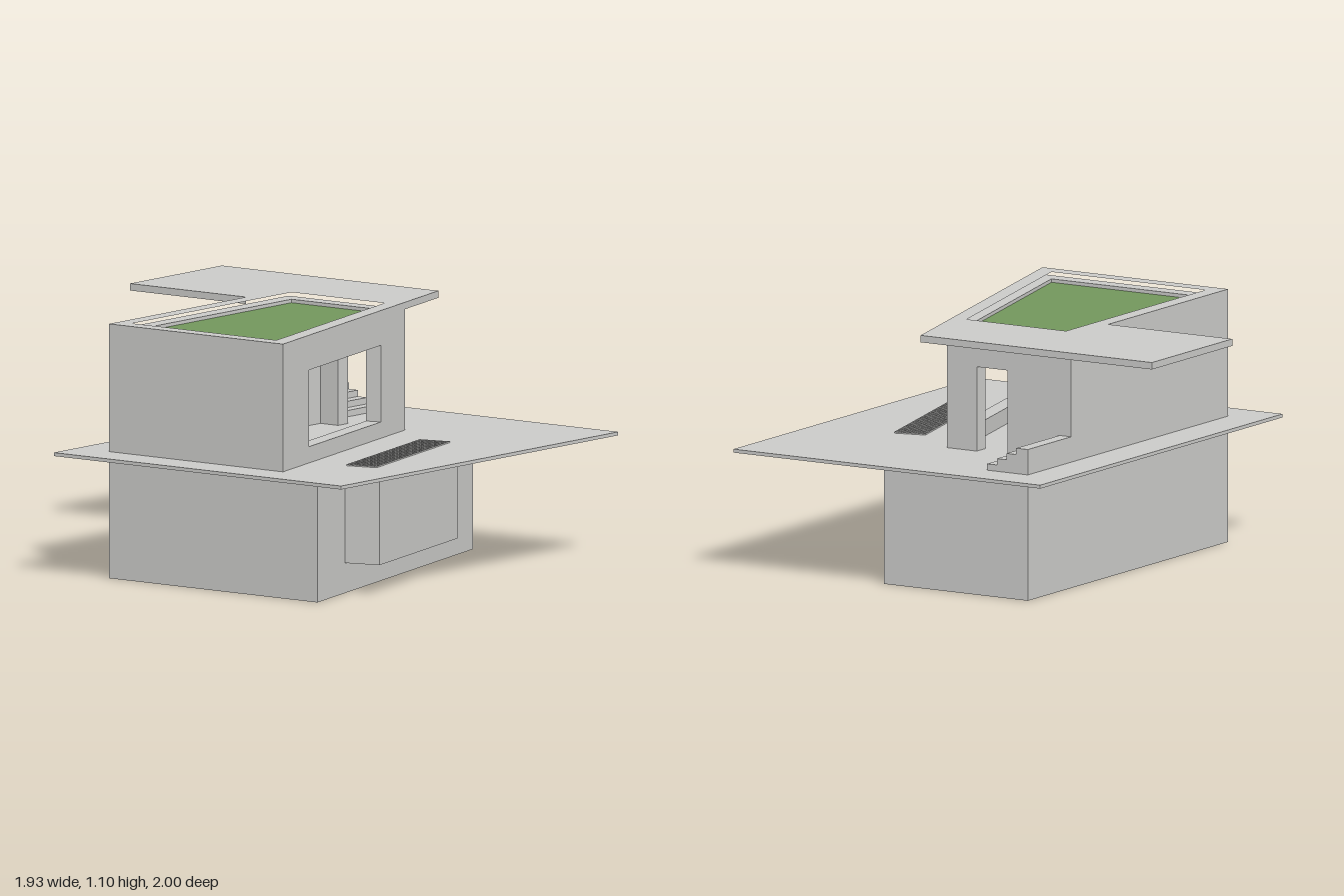
import * as THREE from 'three';

const concrete = new THREE.MeshStandardMaterial({ color: 0xcacac8 });
concrete.name = 'concrete';
const grass = new THREE.MeshStandardMaterial({ color: 0x72965c });
grass.name = 'grass';

const ANGLE = Math.atan(0.248); // skew of the front facade
const WALL = 0.07;
const SLAB_TOP = 0.545, ROOF_BOTTOM = 1.065, ROOF_TOP = 1.095, BACK = -0.375;

export function createModel() {
  const model = new THREE.Group();
  model.name = 'house';

  const add = (name, geometry, material = concrete, parent = model) => {
    const mesh = new THREE.Mesh(geometry, material);
    mesh.name = name;
    parent.add(mesh);
    return mesh;
  };
  const box = (name, x0, x1, y0, y1, z0, z1, parent = model) =>
    add(name, new THREE.BoxGeometry(x1 - x0, y1 - y0, z1 - z0), concrete, parent)
      .position.set((x0 + x1) / 2, (y0 + y1) / 2, (z0 + z1) / 2);
  // Plan outline of [x, z] points raised from y0 to y1, with an optional hole
  const prism = (name, plan, y0, y1, hole, material) => {
    const points = (list) => list.map(([x, z]) => new THREE.Vector2(x, -z));
    const shape = new THREE.Shape(points(plan));
    if (hole) shape.holes.push(new THREE.Path(points(hole)));
    const g = new THREE.ExtrudeGeometry(shape, { depth: y1 - y0, bevelEnabled: false });
    return add(name, g.rotateX(-Math.PI / 2).translate(0, y0, 0), material);
  };
  // Inner and outer facade lines of the upper floor
  const outer = (x) => 0.56 - Math.tan(ANGLE) * (x + 0.8);
  const inner = (x) => outer(x) - WALL / Math.cos(ANGLE);

  // Basement
  prism('basement', [[-0.8, BACK], [0.795, BACK], [0.795, 0.35], [-0.8, 0.745]], 0, 0.53);

  // Light well, in a frame turned with the facade
  const well = new THREE.Group();
  well.name = 'lightWell';
  well.position.set(-0.52, 0, 0.676);
  well.rotation.y = ANGLE;
  model.add(well);
  const T = 0.026, LEN = 0.825, DEPTH = 0.161;
  box('wellFloor', 0, LEN, 0.13, 0.13 + T, 0, DEPTH, well);
  box('wellFront', 0, LEN, 0.13 + T, 0.53, DEPTH - T, DEPTH, well);
  for (const x of [0, LEN - T]) box('wellSide', x, x + T, 0.13 + T, 0.53, 0, DEPTH - T, well);

  // Grate over the well
  const grateLength = LEN - 2 * T, grateWidth = DEPTH - T;
  const crossBars = 40, longBars = 8;
  for (let i = 0; i <= crossBars; i++) {
    const x = T + (grateLength * i) / crossBars;
    box('grateCrossBar', x - 0.0025, x + 0.0025, 0.535, 0.55, 0, grateWidth, well);
  }
  for (let i = 0; i <= longBars; i++) {
    const z = (grateWidth * i) / longBars;
    box('grateLongBar', T, LEN - T, 0.535, 0.551, z - 0.0025, z + 0.0025, well);
  }

  // Ground slab with the opening for the grate
  well.updateMatrix();
  const opening = [[T, 0], [LEN - T, 0], [LEN - T, grateWidth], [T, grateWidth]].map(([x, z]) => {
    const p = new THREE.Vector3(x, 0, z).applyMatrix4(well.matrix);
    return [p.x, p.z];
  });
  prism('groundSlab', [[-0.965, -0.545], [0.965, -0.545], [0.965, 1], [-0.965, 1]], 0.53, SLAB_TOP, opening);

  // Front wall with its window; both ends are mitred to the side walls
  const frontLength = 1.25 / Math.cos(ANGLE);
  const along = (x) => (x + 0.8) / Math.cos(ANGLE);
  const rect = (Kind, x0, y0, x1, y1) => new Kind([[x0, y0], [x1, y0], [x1, y1], [x0, y1]]
    .map(([x, y]) => new THREE.Vector2(x, y)));
  const facade = rect(THREE.Shape, 0, SLAB_TOP, frontLength, ROOF_BOTTOM);
  facade.holes.push(rect(THREE.Path, along(-0.535), 0.615, along(0.205), 0.945));
  const wallGeometry = new THREE.ExtrudeGeometry(facade, { depth: WALL, bevelEnabled: false });
  wallGeometry.translate(0, 0, -WALL);
  const pos = wallGeometry.attributes.position;
  for (let i = 0; i < pos.count; i++) {
    const x = pos.getX(i);
    const atEnd = x < 0.001 || x > frontLength - 0.001;
    if (atEnd && pos.getZ(i) < -0.001) pos.setX(i, x + WALL * Math.tan(ANGLE));
  }
  wallGeometry.computeVertexNormals();
  const frontWall = add('frontWall', wallGeometry);
  frontWall.position.set(-0.8, 0, 0.56);
  frontWall.rotation.y = ANGLE;

  // Left, back and right walls; the right wall has a doorway
  prism('leftWall', [[-0.8, BACK], [-0.73, BACK], [-0.73, inner(-0.73)], [-0.8, inner(-0.8)]], SLAB_TOP, ROOF_BOTTOM);
  box('backWall', -0.73, 0.38, SLAB_TOP, ROOF_BOTTOM, BACK, -0.305);
  box('rightWallBack', 0.38, 0.45, SLAB_TOP, ROOF_BOTTOM, BACK, -0.055);
  box('doorLintel', 0.38, 0.45, 0.91, ROOF_BOTTOM, -0.055, 0.1);
  prism('rightWallFront', [[0.38, 0.1], [0.45, 0.1], [0.45, inner(0.45)], [0.38, inner(0.38)]], SLAB_TOP, ROOF_BOTTOM);

  // Inner partition with a full-height gap and a doorway
  const CEILING = 1.01, P0 = -0.18, P1 = -0.15;
  box('partitionLeft', -0.73, -0.3, SLAB_TOP, CEILING, P0, P1);
  box('partitionMiddle', -0.145, 0.04, SLAB_TOP, CEILING, P0, P1);
  box('partitionRight', 0.17, 0.38, SLAB_TOP, CEILING, P0, P1);
  box('partitionLintel', 0.04, 0.17, 0.91, CEILING, P0, P1);

  // Ceiling, planted roof and the roof rim with its canopy
  const room = [[-0.73, -0.305], [0.38, -0.305], [0.38, inner(0.38)], [-0.73, inner(-0.73)]];
  prism('ceiling', room, CEILING, 1.043);
  prism('greenRoof', room, 1.043, 1.05, null, grass);
  prism('roofAndCanopy', [[-0.8, BACK], [0.155, BACK], [0.155, -1], [0.795, -1],
    [0.795, outer(0.795)], [-0.8, 0.56]], ROOF_BOTTOM, ROOF_TOP, room);

  // Outside stairs
  for (let i = 0; i < 4; i++) {
    const rise = 0.0275;
    box('stairStep', 0.45, 0.795, SLAB_TOP + i * rise, SLAB_TOP + (i + 1) * rise, BACK, -0.17 - i * 0.049);
  }
  return model;
}
